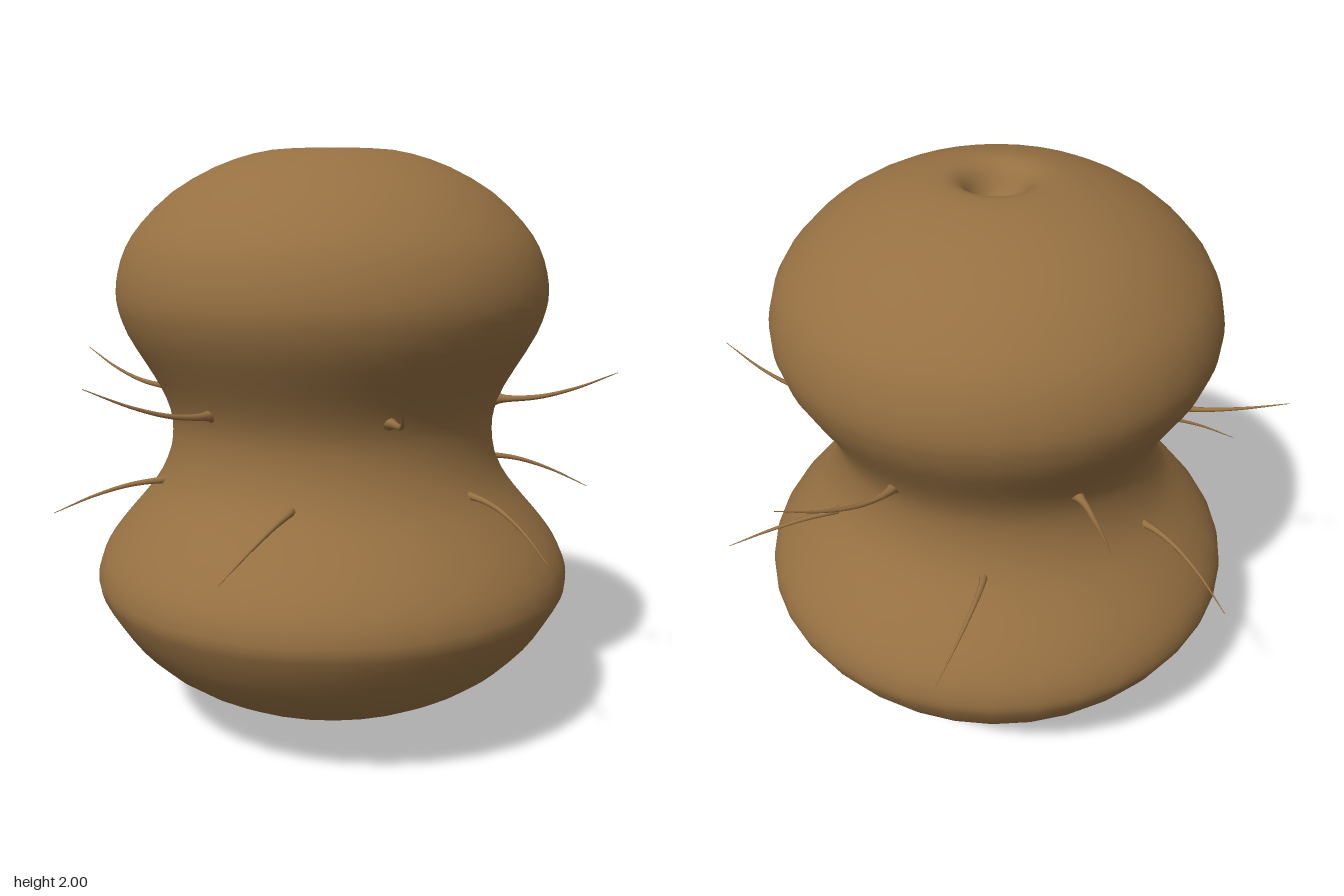
import * as THREE from 'three';

const brown = new THREE.MeshStandardMaterial({ color: 0x967042 });
brown.name = 'warm brown';

// Point at a polar angle (degrees from +z towards +x), radius and height
function polar(deg, r, y) {
  const a = THREE.MathUtils.degToRad(deg);
  return new THREE.Vector3(Math.sin(a) * r, y, Math.cos(a) * r);
}

// Tube whose radius follows radiusAt(t) along the curve
function taperedTube(curve, steps, sides, radiusAt) {
  const geo = new THREE.TubeGeometry(curve, steps, 1, sides, false);
  const pos = geo.attributes.position;
  const v = new THREE.Vector3();
  for (let i = 0; i <= steps; i++) {
    const c = curve.getPointAt(i / steps);
    for (let j = 0; j <= sides; j++) {
      const k = i * (sides + 1) + j;
      v.fromBufferAttribute(pos, k).sub(c).multiplyScalar(radiusAt(i / steps)).add(c);
      pos.setXYZ(k, v.x, v.y, v.z);
    }
  }
  return geo;
}

export function createModel() {
  const model = new THREE.Group();
  model.name = 'waistedPod';

  // Two-lobed body with a narrow waist and a dimple on top
  const outline = [
    [0, 0.005], [0.1, 0.02], [0.22, 0.05], [0.41, 0.12], [0.58, 0.21], [0.69, 0.3],
    [0.77, 0.4], [0.825, 0.5], [0.833, 0.55], [0.82, 0.61], [0.78, 0.68], [0.72, 0.755],
    [0.655, 0.83], [0.605, 0.9], [0.572, 0.98], [0.56, 1.06], [0.567, 1.13],
    [0.598, 1.21], [0.65, 1.3], [0.702, 1.39], [0.73, 1.47], [0.737, 1.53],
    [0.728, 1.6], [0.7, 1.68], [0.645, 1.76], [0.54, 1.86], [0.4, 1.94],
    [0.27, 1.985], [0.17, 2], [0.12, 1.985], [0.09, 1.95], [0.06, 1.905], [0, 1.885],
  ].map(([r, y]) => new THREE.Vector2(r, y));
  const profile = new THREE.SplineCurve(outline).getPoints(64);
  profile.forEach((p) => { p.x = Math.max(p.x, 0); });
  const body = new THREE.Mesh(new THREE.LatheGeometry(profile, 36), brown);
  body.name = 'body';
  model.add(body);

  // Ring of curved bristles around the waist, alternately bending up and down
  const bristles = new THREE.Group();
  bristles.name = 'bristles';
  model.add(bristles);
  const bristleRadius = (t) => 0.011 * (1 - t) + 0.001 + 0.02 * Math.exp(-t * 22);
  for (let i = 0; i < 12; i++) {
    const up = i % 2 === 0;
    const bend = (d) => (up ? 1.17 + d : 0.9 - d);
    const root = i * 30 - 3;
    const curve = new THREE.CatmullRomCurve3([
      polar(root, 0.56, bend(0)),
      polar(root, 0.62, bend(0.001)),
      polar(root - 1.7, 0.72, bend(0.015)),
      polar(root - 4.2, 0.84, bend(0.055)),
      polar(root - 7, 0.976, bend(0.12)),
    ]);
    const bristle = new THREE.Mesh(taperedTube(curve, 20, 8, bristleRadius), brown);
    bristle.name = up ? 'upperBristle' : 'lowerBristle';
    bristles.add(bristle);
  }
  return model;
}
